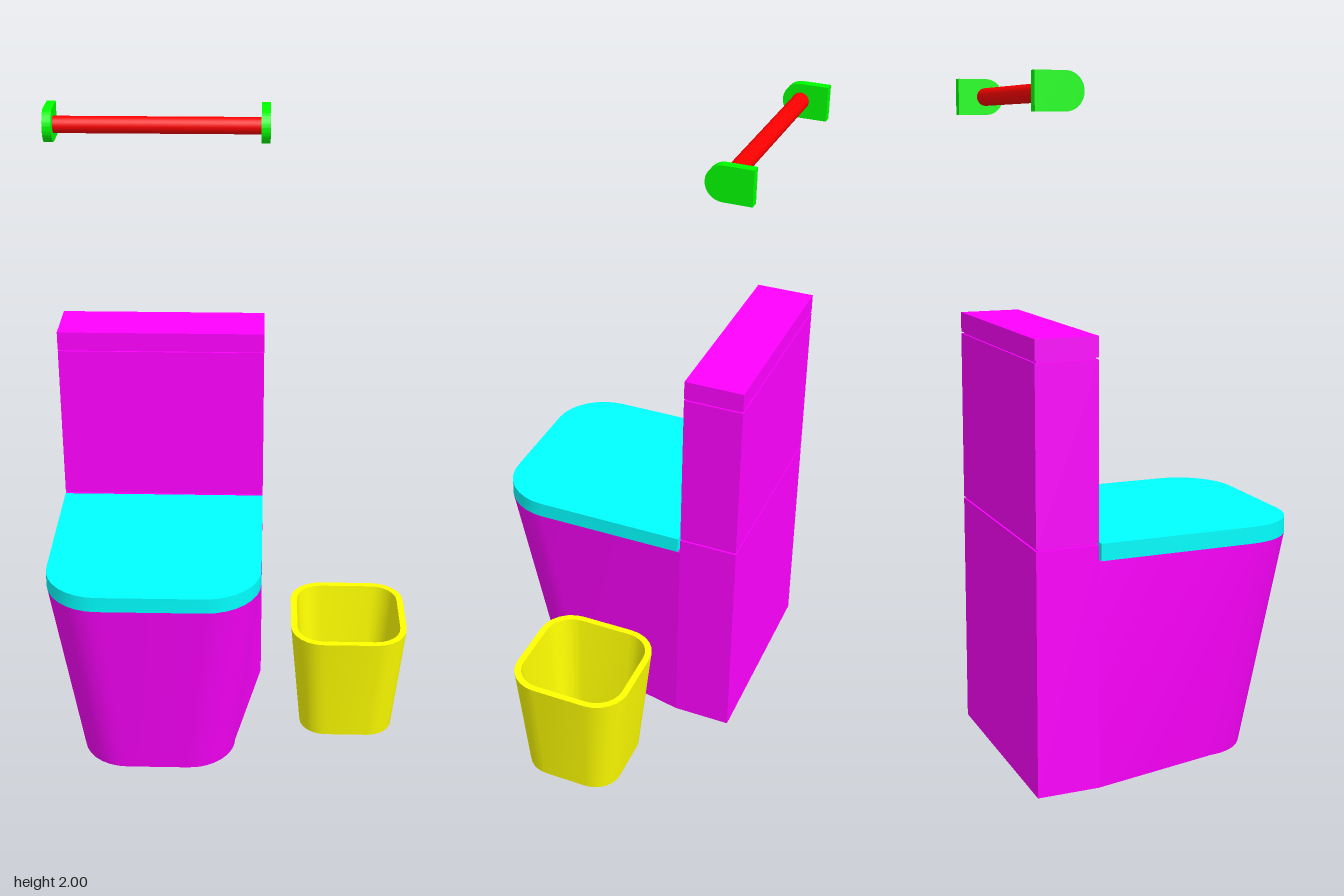
import * as THREE from 'three';
import { toCreasedNormals } from 'three/addons/utils/BufferGeometryUtils.js';

const material = (color) => new THREE.MeshStandardMaterial({ color });
const MAGENTA = material(0xff00ff), CYAN = material(0x00ffff), YELLOW = material(0xffff00);
const RED = material(0xff0000), GREEN = material(0x00ff00);

function add(parent, name, geometry, mat, x = 0, y = 0, z = 0) {
  const mesh = new THREE.Mesh(geometry, mat);
  mesh.name = name;
  mesh.position.set(x, y, z);
  parent.add(mesh);
  return mesh;
}

// Skin a series of closed convex loops and cap both ends
function loft(loops) {
  const out = [];
  const tri = (...points) => points.forEach((p) => out.push(p.x, p.y, p.z));
  const n = loops[0].length;
  const centre = (loop) => loop.reduce((s, p) => s.add(p), new THREE.Vector3()).divideScalar(n);
  const first = loops[0], last = loops[loops.length - 1];
  const c0 = centre(first), c1 = centre(last);
  for (let i = 0; i < n; i++) {
    const j = (i + 1) % n;
    tri(c0, first[i], first[j]);
    for (let k = 0; k < loops.length - 1; k++) {
      const a = loops[k], b = loops[k + 1];
      tri(a[i], b[i], a[j]);
      tri(b[i], b[j], a[j]);
    }
    tri(c1, last[j], last[i]);
  }
  const geometry = new THREE.BufferGeometry();
  geometry.setAttribute('position', new THREE.Float32BufferAttribute(out, 3));
  return toCreasedNormals(geometry, 0.5);
}

// Outline with a square back and rounded front corners
function bowlLoop(y, backHalf, frontHalf, back, front, radius) {
  const half = [new THREE.Vector3(backHalf, y, back)];
  for (let i = 0; i <= 8; i++) {
    const t = (i / 8) * Math.PI / 2;
    half.push(new THREE.Vector3(frontHalf - radius + radius * Math.cos(t), y,
      front - radius + radius * Math.sin(t)));
  }
  const mirrored = half.map((p) => new THREE.Vector3(-p.x, p.y, p.z)).reverse();
  return [...half, ...mirrored];
}

// Rounded square outline
function squareLoop(y, half, radius) {
  const loop = [];
  for (let q = 0; q < 4; q++) {
    const m = (q + 0.5) * Math.PI / 2;
    const cx = Math.sign(Math.cos(m)) * (half - radius);
    const cz = Math.sign(Math.sin(m)) * (half - radius);
    for (let i = 0; i <= 6; i++) {
      const t = (q + i / 6) * Math.PI / 2;
      loop.push(new THREE.Vector3(cx + radius * Math.cos(t), y, cz + radius * Math.sin(t)));
    }
  }
  return loop;
}

function createToilet() {
  const toilet = new THREE.Group();
  toilet.name = 'toilet';
  toilet.position.x = -0.233;
  const W = 0.3325;
  // Bowl tapering to a narrower foot
  add(toilet, 'bowl', loft([
    bowlLoop(0, W, 0.25, -0.235, 0.312, 0.15),
    bowlLoop(0.67, W, W, -0.235, 0.42, 0.17),
  ]), MAGENTA);
  add(toilet, 'seatLid', loft([
    bowlLoop(0.67, W, W, -0.227, 0.42, 0.17),
    bowlLoop(0.72, W, W, -0.227, 0.42, 0.17),
  ]), CYAN);

  // Back column: three blocks around a core that leaves thin grooves
  const blocks = [['backBase', 0, 0.717], ['tank', 0.723, 1.237], ['tankLid', 1.243, 1.302]];
  for (const [name, y0, y1] of blocks) {
    add(toilet, name, new THREE.BoxGeometry(2 * W, y1 - y0, 0.185), MAGENTA,
      0, (y0 + y1) / 2, -0.3275);
  }
  for (const y of [0.72, 1.24]) {
    add(toilet, 'groove', new THREE.BoxGeometry(2 * W - 0.012, 0.006, 0.173), MAGENTA, 0, y, -0.3275);
  }
  return toilet;
}

function createBin() {
  const bin = new THREE.Group();
  bin.name = 'bin';
  bin.position.set(0.389, 0, -0.028);
  add(bin, 'binShell', loft([
    squareLoop(0, 0.155, 0.085),
    squareLoop(0.385, 0.19, 0.105),
    squareLoop(0.385, 0.169, 0.085),
    squareLoop(0.02, 0.139, 0.065),
  ]), YELLOW);
  return bin;
}

function createRail() {
  const rail = new THREE.Group();
  rail.name = 'towelRail';
  rail.position.set(-0.2355, 1.9475, -0.3375);
  const bar = add(rail, 'bar', new THREE.CylinderGeometry(0.026, 0.026, 0.642, 24), RED);
  bar.rotation.z = Math.PI / 2;

  // Wall brackets: flat at the back, half round at the front
  const r = 0.0525, d = 0.028;
  const shape = new THREE.Shape();
  shape.moveTo(-0.0825, -r);
  shape.lineTo(0, -r);
  shape.absarc(0.003, 0, r, -Math.PI / 2, Math.PI / 2, false);
  shape.lineTo(-0.0825, r);
  const extruded = new THREE.ExtrudeGeometry(shape, { depth: d, bevelEnabled: false, curveSegments: 16 });
  const bracket = toCreasedNormals(extruded.translate(0, 0, -d / 2).rotateY(-Math.PI / 2), 0.5);
  for (const side of [-1, 1]) add(rail, 'bracket', bracket, GREEN, side * 0.3335, 0, 0);
  return rail;
}

export function createModel() {
  const model = new THREE.Group();
  model.name = 'toiletSet';
  model.add(createToilet(), createBin(), createRail());
  return model;
}
